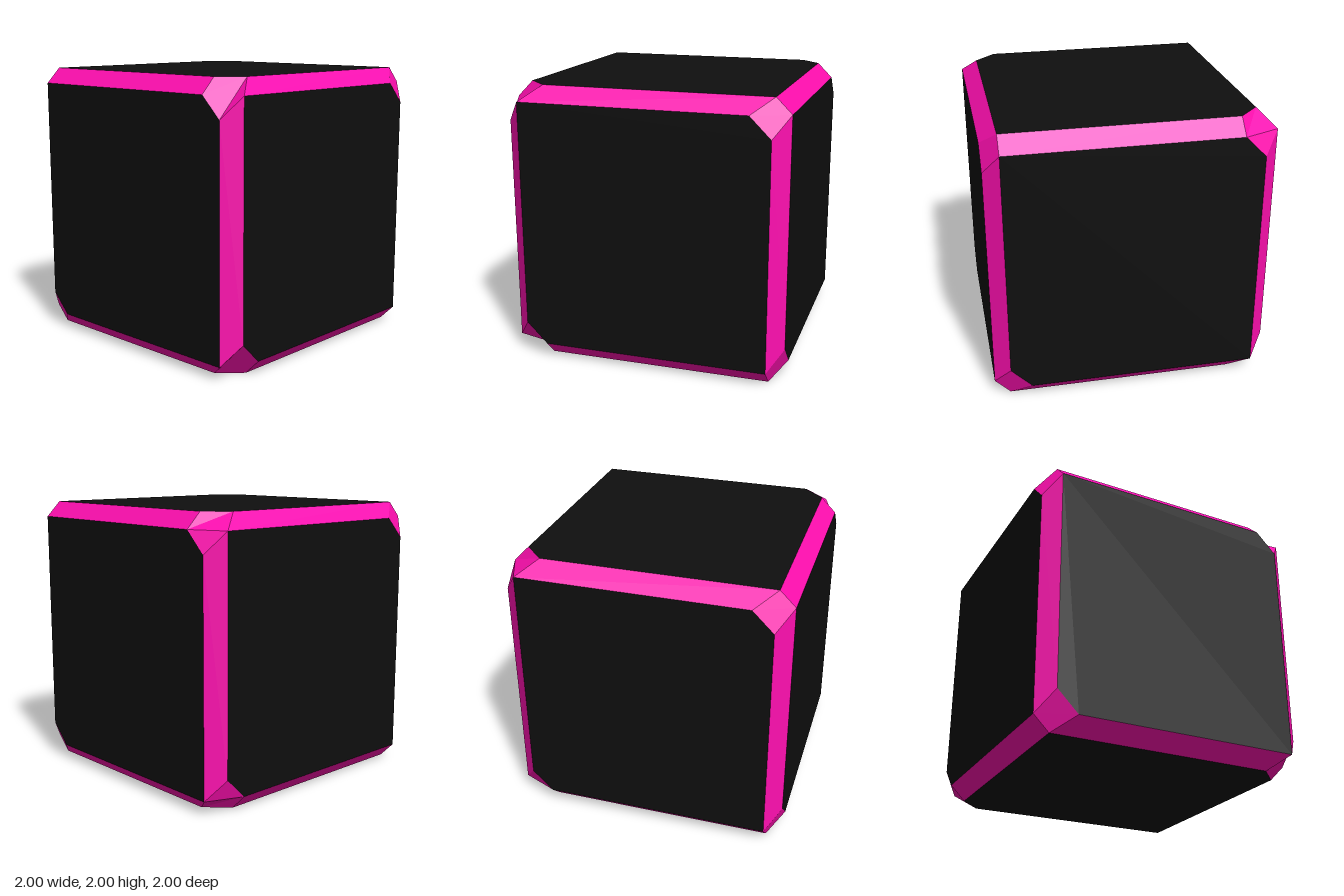
import * as THREE from 'three';

const X = 0, Y = 1, Z = 2;
const HALF = 1, FLAT = 0.89, CUT = 0.74; // outer half size, panel half size, clipped panel corner

// Which panels have a clipped tip at the corner with signs s
function isCut(s, axis) {
  if (axis === Y) return s[X] * s[Z] < 0;
  return axis === (s[X] * s[Y] * s[Z] < 0 ? X : Z);
}

// Corner point of the panel on `axis`, optionally pulled back along another axis
function point(s, axis, back = -1) {
  return new THREE.Vector3(...s.map((sign, i) => sign * (i === axis ? HALF : i === back ? CUT : FLAT)));
}

// Panel point that ends the edge running along `run`
const edgePoint = (s, axis, run) => point(s, axis, isCut(s, axis) ? run : -1);

// Collects flat polygons, turned outward, into one mesh
function polygonMesh(name, polygons, material) {
  const positions = [];
  for (const polygon of polygons) {
    const pts = polygon.filter((p, i) => p.distanceTo(polygon[(i + 1) % polygon.length]) > 1e-6);
    const normal = new THREE.Triangle(pts[0], pts[1], pts[2]).getNormal(new THREE.Vector3());
    const middle = pts.reduce((sum, p) => sum.add(p), new THREE.Vector3());
    if (normal.dot(middle) < 0) pts.reverse();
    for (let i = 1; i < pts.length - 1; i++) {
      for (const p of [pts[0], pts[i], pts[i + 1]]) positions.push(p.x, p.y + HALF, p.z);
    }
  }
  const geometry = new THREE.BufferGeometry();
  geometry.setAttribute('position', new THREE.Float32BufferAttribute(positions, 3));
  geometry.computeVertexNormals();
  const mesh = new THREE.Mesh(geometry, material);
  mesh.name = name;
  return mesh;
}

// Signs of a corner, given per axis
function signs(a, sa, b, sb, c, sc) {
  const s = [0, 0, 0];
  s[a] = sa; s[b] = sb; s[c] = sc;
  return s;
}

// Faces that close one corner
function cornerFaces(s) {
  const a = isCut(s, X) ? X : Z, o = a === X ? Z : X;
  const O = point(s, o), A1 = point(s, a, Y), A2 = point(s, a, o);
  if (!isCut(s, Y)) return [[A2, A1, O, point(s, Y)]];
  const Y1 = point(s, Y, a), Y2 = point(s, Y, o);
  return s[Z] < 0
    ? [[O, A1, A2], [O, A2, Y1], [A2, Y2, Y1]]
    : [[O, A1, Y1], [A1, A2, Y2, Y1]];
}

export function createModel() {
  const group = new THREE.Group();
  group.name = 'bevelledCube';
  const black = new THREE.MeshStandardMaterial({ color: 0x0f0f0f, flatShading: true });
  const pink = new THREE.MeshStandardMaterial({ color: 0xff0fb0, flatShading: true });
  const loop = [[1, 1], [-1, 1], [-1, -1], [1, -1]];
  const panels = [], bevels = [], corners = [];

  for (const a of [X, Y, Z]) {
    const b = (a + 1) % 3, c = (a + 2) % 3;

    // Two opposite panels
    for (const side of [1, -1]) {
      panels.push(loop.flatMap(([sb, sc], i) => {
        const s = signs(a, side, b, sb, c, sc);
        const runs = i % 2 ? [b, c] : [c, b];
        return runs.map((run) => edgePoint(s, a, run));
      }));
    }

    // Four edge bevels running along this axis
    for (const [sb, sc] of loop) {
      const low = signs(a, -1, b, sb, c, sc), high = signs(a, 1, b, sb, c, sc);
      bevels.push([edgePoint(low, b, a), edgePoint(high, b, a), edgePoint(high, c, a), edgePoint(low, c, a)]);
    }
  }

  // Eight corners
  for (const sy of [1, -1]) {
    for (const [sx, sz] of loop) corners.push(...cornerFaces([sx, sy, sz]));
  }

  group.add(
    polygonMesh('facePanels', panels, black),
    polygonMesh('edgeBevels', bevels, pink),
    polygonMesh('cornerBevels', corners, pink),
  );
  return group;
}
